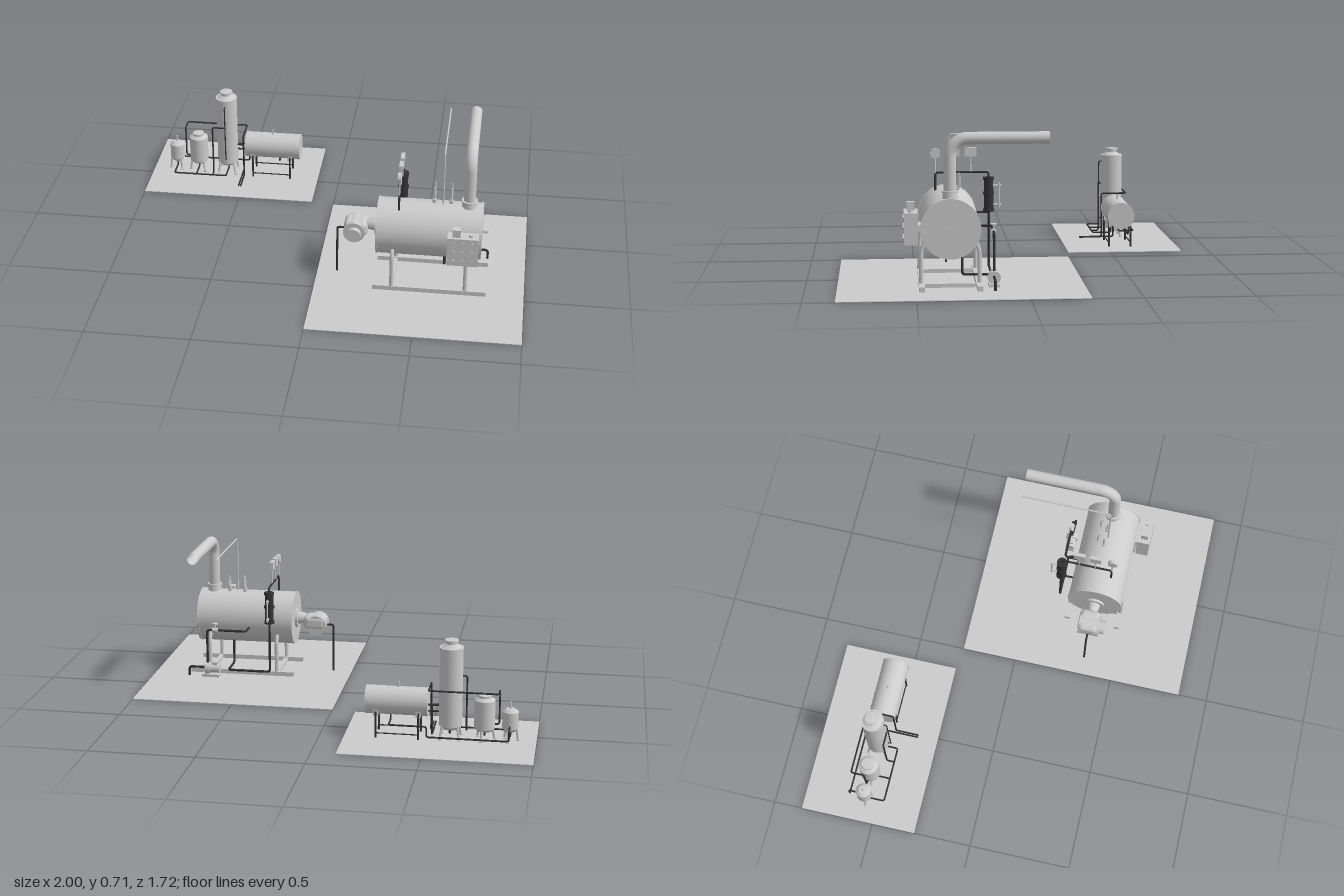
import * as THREE from 'three';
import { mergeGeometries } from 'three/addons/utils/BufferGeometryUtils.js';
import { RoundedBoxGeometry } from 'three/addons/geometries/RoundedBoxGeometry.js';

const grey = new THREE.MeshStandardMaterial({ color: 0xcccccc, side: THREE.DoubleSide });
const dark = new THREE.MeshStandardMaterial({ color: 0x333333, side: THREE.DoubleSide });
const V = (p) => new THREE.Vector3(...p);

function add(group, name, geometry, pos = [0, 0, 0], mat = grey) {
  const m = new THREE.Mesh(geometry, mat);
  m.name = name;
  m.position.set(...pos);
  group.add(m);
  return m;
}
const box = (g, name, size, pos, mat) => add(g, name, new THREE.BoxGeometry(...size), pos, mat);

// Cylinder between two points, optionally tapered
function rod(g, name, a, b, r, mat = grey, r2 = r, sides = 24) {
  const from = V(a), to = V(b), d = to.clone().sub(from);
  const m = add(g, name, new THREE.CylinderGeometry(r2, r, d.length(), sides), from.clone().add(to).multiplyScalar(0.5).toArray(), mat);
  m.quaternion.setFromUnitVectors(new THREE.Vector3(0, 1, 0), d.normalize());
  return m;
}

// Pipe run through corner points with rounded elbows
function pipe(g, name, points, r, mat = dark, bend = r * 2.5, sides = 10) {
  const p = points.map(V), parts = [];
  let start = p[0];
  for (let i = 1; i < p.length; i++) {
    if (i === p.length - 1) {
      parts.push(new THREE.TubeGeometry(new THREE.LineCurve3(start, p[i]), 1, r, sides));
      break;
    }
    const k = Math.min(bend, p[i].distanceTo(p[i - 1]) / 2, p[i].distanceTo(p[i + 1]) / 2);
    const a = p[i].clone().add(p[i - 1].clone().sub(p[i]).setLength(k));
    const b = p[i].clone().add(p[i + 1].clone().sub(p[i]).setLength(k));
    parts.push(new THREE.TubeGeometry(new THREE.LineCurve3(start, a), 1, r, sides));
    const elbow = new THREE.CubicBezierCurve3(a, a.clone().lerp(p[i], 0.55), b.clone().lerp(p[i], 0.55), b);
    parts.push(new THREE.TubeGeometry(elbow, 10, r, sides));
    start = b;
  }
  return add(g, name, mergeGeometries(parts), [0, 0, 0], mat);
}

// Upright vessel turned from a profile, standing on splayed legs
function vessel(g, name, x, z, profile, legs, legR, legTop) {
  const v = new THREE.Group();
  v.name = name;
  v.position.set(x, 0, z);
  g.add(v);
  // each profile step is turned on its own so the rims stay crisp
  const bands = profile.slice(1).map((p, i) =>
    new THREE.LatheGeometry([profile[i], p].map(([r, y]) => new THREE.Vector2(r, y)), 36));
  add(v, 'shell', mergeGeometries(bands));
  for (let i = 0; i < legs; i++) {
    const a = Math.PI / 4 + (i * 2 * Math.PI) / legs, c = Math.cos(a), s = Math.sin(a);
    rod(v, 'leg', [c * legR * 1.15, 0.003, s * legR * 1.15], [c * legR * 0.9, legTop, s * legR * 0.9], 0.005, grey, 0.006, 8);
    box(v, 'foot', [0.016, 0.004, 0.016], [c * legR * 1.15, 0.005, s * legR * 1.15]);
  }
  return v;
}

function boilerUnit() {
  const g = new THREE.Group(), Y = 0.28, Z = 0.343;
  g.name = 'boilerUnit';
  box(g, 'floorPad', [1, 0.003, 1.125], [0.5, 0.0015, 0.2925]);

  // Shell with end rims and rear peephole
  rod(g, 'boilerShell', [0.295, Y, Z], [0.78, Y, Z], 0.134, grey, 0.134, 64);
  for (const x of [0.29, 0.777]) rod(g, 'endRim', [x, Y, Z], [x + 0.01, Y, Z], 0.137, grey, 0.137, 64);
  rod(g, 'peephole', [0.785, Y, Z], [0.815, Y, Z], 0.007);
  rod(g, 'peepholeFlange', [0.802, Y, Z], [0.808, Y, Z], 0.012);

  // Skid and bent legs
  for (const s of [-1, 1]) {
    box(g, 'skidRail', [0.54, 0.022, 0.026], [0.55, 0.014, Z + s * 0.13]);
    for (const x of [0.37, 0.72]) {
      pipe(g, 'leg', [[x, 0.02, Z + s * 0.132], [x, 0.19, Z + s * 0.132], [x, 0.24, Z + s * 0.09]], 0.01, grey, 0.04);
    }
  }
  for (const x of [0.37, 0.72]) box(g, 'crossBeam', [0.02, 0.018, 0.25], [x, 0.013, Z]);

  // Burner
  rod(g, 'burnerFlange', [0.278, Y, Z], [0.295, Y, Z], 0.05);
  rod(g, 'burnerNeck', [0.235, Y, Z], [0.285, Y, Z], 0.024, grey, 0.034);
  add(g, 'burnerHousing', new RoundedBoxGeometry(0.115, 0.075, 0.105, 4, 0.025), [0.187, 0.265, 0.338]);
  rod(g, 'burnerFan', [0.18, 0.253, 0.29], [0.18, 0.253, 0.395], 0.052);
  rod(g, 'fanMotor', [0.18, 0.25, 0.39], [0.18, 0.25, 0.42], 0.034);
  pipe(g, 'fuelPipe', [[0.13, 0.25, Z], [0.095, 0.25, Z], [0.095, 0.003, Z]], 0.005);

  // Chimney and steam vent
  pipe(g, 'chimney', [[0.72, 0.39, Z], [0.72, 0.682, Z], [0.72, 0.682, -0.105]], 0.028, grey, 0.08, 32);
  rod(g, 'chimneyCollar', [0.72, 0.405, Z], [0.72, 0.44, Z], 0.036, grey, 0.032);
  rod(g, 'chimneyFlange', [0.72, 0.437, Z], [0.72, 0.445, Z], 0.038);
  pipe(g, 'ventPipe', [[0.597, 0.4, Z], [0.597, 0.688, Z], [0.597, 0.688, -0.105]], 0.004, grey, 0.02);

  // Safety valves
  for (const x of [0.555, 0.635]) {
    rod(g, 'valveBase', [x, 0.4, 0.33], [x, 0.43, 0.33], 0.011);
    rod(g, 'valveBody', [x, 0.42, 0.33], [x, 0.49, 0.33], 0.007, grey, 0.004);
    pipe(g, 'valveOutlet', [[x, 0.44, 0.33], [x, 0.44, 0.297], [x, 0.505, 0.297]], 0.005, grey);
  }

  // Gauge manifold
  const X = 0.393;
  pipe(g, 'gaugeManifold', [[X, 0.39, 0.4], [X, 0.485, 0.4], [X, 0.485, 0.15], [X, 0.45, 0.15]], 0.005);
  rod(g, 'gaugeStem', [X, 0.48, 0.4], [X, 0.56, 0.4], 0.004);
  rod(g, 'pressureGauge', [X - 0.008, 0.575, 0.4], [X + 0.008, 0.575, 0.4], 0.024, grey, 0.024, 32);
  for (const z of [0.315, 0.235]) {
    rod(g, 'switchStem', [X, 0.485, z], [X, 0.56, z], 0.004);
    box(g, 'pressureSwitch', [0.018, 0.042, 0.056], [X, 0.58, z]);
  }

  // Water column, sight glass and drain
  rod(g, 'waterColumn', [X, 0.305, 0.15], [X, 0.46, 0.15], 0.022, dark);
  for (const y of [0.305, 0.385, 0.455]) rod(g, 'columnBand', [X, y - 0.006, 0.15], [X, y + 0.006, 0.15], 0.026, dark);
  rod(g, 'sightGlass', [X, 0.315, 0.1], [X, 0.435, 0.1], 0.004);
  for (const y of [0.33, 0.42]) {
    rod(g, 'glassFitting', [X, y, 0.15], [X, y, 0.09], 0.004);
    rod(g, 'glassValve', [X, y - 0.007, 0.1], [X, y + 0.007, 0.1], 0.007);
  }
  rod(g, 'columnLink', [X, 0.295, 0.15], [X, 0.295, 0.22], 0.005, dark);
  pipe(g, 'drainPipe', [[X, 0.31, 0.15], [X, 0.04, 0.15], [0.61, 0.04, 0.15], [0.61, 0.04, 0.285], [0.61, 0.165, 0.285]], 0.006);

  // Feed pump and pipework
  box(g, 'pumpBase', [0.09, 0.014, 0.05], [0.7, 0.012, 0.145]);
  rod(g, 'pumpMotor', [0.655, 0.046, 0.145], [0.705, 0.046, 0.145], 0.023);
  rod(g, 'pumpCasing', [0.705, 0.046, 0.145], [0.73, 0.046, 0.145], 0.03);
  box(g, 'pumpTerminalBox', [0.025, 0.015, 0.025], [0.68, 0.073, 0.145]);
  pipe(g, 'suctionPipe', [[0.72, 0.05, 0.145], [0.815, 0.05, 0.145], [0.815, 0.003, 0.145]], 0.006);
  pipe(g, 'feedPipe', [[0.718, 0.06, 0.145], [0.718, 0.25, 0.145], [0.515, 0.25, 0.145], [0.515, 0.25, 0.22]], 0.006);
  rod(g, 'checkValve', [0.66, 0.25, 0.145], [0.69, 0.25, 0.145], 0.012);
  rod(g, 'valveWheel', [0.675, 0.28, 0.145], [0.675, 0.286, 0.145], 0.014);
  rod(g, 'valveStem', [0.675, 0.25, 0.145], [0.675, 0.283, 0.145], 0.003);

  // Control panel
  box(g, 'controlPanel', [0.145, 0.145, 0.062], [0.703, 0.28, 0.52]);
  box(g, 'panelBracket', [0.1, 0.03, 0.05], [0.703, 0.28, 0.475]);
  box(g, 'panelTopBox', [0.038, 0.038, 0.036], [0.672, 0.372, 0.52]);
  rod(g, 'panelDial', [0.74, 0.35, 0.52], [0.74, 0.362, 0.52], 0.011);
  for (const x of [0.66, 0.703, 0.746]) for (const y of [0.235, 0.285, 0.33])
    rod(g, 'panelButton', [x, y, 0.55], [x, y, 0.557], 0.006, grey, 0.006, 12);
  return g;
}

function waterUnit() {
  const g = new THREE.Group(), Z = -0.565;
  g.name = 'waterTreatmentUnit';
  box(g, 'floorPad', [0.885, 0.003, 0.575], [-0.5575, 0.0015, -0.5725]);

  // Upright vessels
  vessel(g, 'smallTank', -0.878, Z, [[0, 0.045], [0.025, 0.05], [0.037, 0.065], [0.037, 0.145], [0.022, 0.158], [0, 0.16]], 3, 0.033, 0.07);
  rod(g, 'smallTankStub', [-0.878, 0.155, Z], [-0.878, 0.19, Z], 0.005);
  vessel(g, 'mediumTank', -0.76, Z, [[0, 0.045], [0.035, 0.047], [0.048, 0.06], [0.048, 0.195], [0.03, 0.207], [0.03, 0.218], [0, 0.22]], 3, 0.042, 0.06);
  vessel(g, 'tallColumn', -0.603, Z, [[0, 0.048], [0.04, 0.05], [0.054, 0.065], [0.054, 0.435], [0.025, 0.455], [0.025, 0.462], [0.032, 0.464], [0.032, 0.474], [0, 0.476]], 4, 0.055, 0.075);
  rod(g, 'columnRim', [-0.603, 0.432, Z], [-0.603, 0.44, Z], 0.056, grey, 0.056, 36);

  // Horizontal storage tank
  rod(g, 'storageTank', [-0.5, 0.17, Z], [-0.212, 0.17, Z], 0.066, grey, 0.066, 48);
  for (const x of [-0.5, -0.217]) rod(g, 'tankRim', [x, 0.17, Z], [x + 0.006, 0.17, Z], 0.068, grey, 0.068, 48);
  rod(g, 'tankVent', [-0.36, 0.23, Z], [-0.36, 0.262, Z], 0.004);
  for (const x of [-0.46, -0.262]) for (const s of [-1, 1]) {
    box(g, 'tankBracket', [0.024, 0.035, 0.012], [x, 0.125, Z + s * 0.052]);
    rod(g, 'tankLeg', [x, 0.003, Z + s * 0.056], [x, 0.13, Z + s * 0.056], 0.005, dark, 0.005, 8);
  }
  for (const s of [-1, 1]) rod(g, 'legBrace', [-0.46, 0.025, Z + s * 0.056], [-0.262, 0.025, Z + s * 0.056], 0.003, dark, 0.003, 8);

  // Connecting pipework
  const r = 0.0042;
  pipe(g, 'frontHeader', [[-0.878, 0.06, Z], [-0.878, 0.02, Z], [-0.878, 0.02, -0.468], [-0.6, 0.02, -0.468], [-0.6, 0.02, Z], [-0.6, 0.06, Z]], r);
  pipe(g, 'mediumTankDrain', [[-0.76, 0.06, Z], [-0.76, 0.02, Z], [-0.76, 0.02, -0.468]], r);
  pipe(g, 'overheadPipe', [[-0.76, 0.08, Z], [-0.828, 0.08, Z], [-0.828, 0.245, Z], [-0.828, 0.245, -0.63], [-0.507, 0.245, -0.63], [-0.507, 0.245, -0.5], [-0.507, 0.012, -0.5], [-0.507, 0.012, -0.385]], r);
  pipe(g, 'outletPipe', [[-0.56, 0.16, Z], [-0.518, 0.16, Z], [-0.518, 0.012, Z], [-0.518, 0.012, -0.385]], r);
  pipe(g, 'rearPipe', [[-0.878, 0.08, Z], [-0.878, 0.08, -0.643], [-0.878, 0.025, -0.643], [-0.5, 0.025, -0.643], [-0.5, 0.075, -0.643], [-0.325, 0.075, -0.643], [-0.325, 0.075, Z], [-0.325, 0.12, Z]], r);
  pipe(g, 'columnGauge', [[-0.603, 0.405, -0.52], [-0.603, 0.405, -0.497], [-0.603, 0.1, -0.497], [-0.603, 0.1, -0.52]], 0.003);
  pipe(g, 'columnBypass', [[-0.603, 0.285, -0.505], [-0.672, 0.285, -0.505], [-0.672, 0.02, -0.505], [-0.672, 0.02, -0.468]], r);
  for (const y of [0.13, 0.16]) rod(g, 'columnLink', [-0.56, y, -0.575], [-0.495, y, -0.575], r, dark);
  return g;
}

export function createModel() {
  const model = new THREE.Group();
  model.name = 'boilerPlant';
  model.add(boilerUnit(), waterUnit());
  return model;
}
